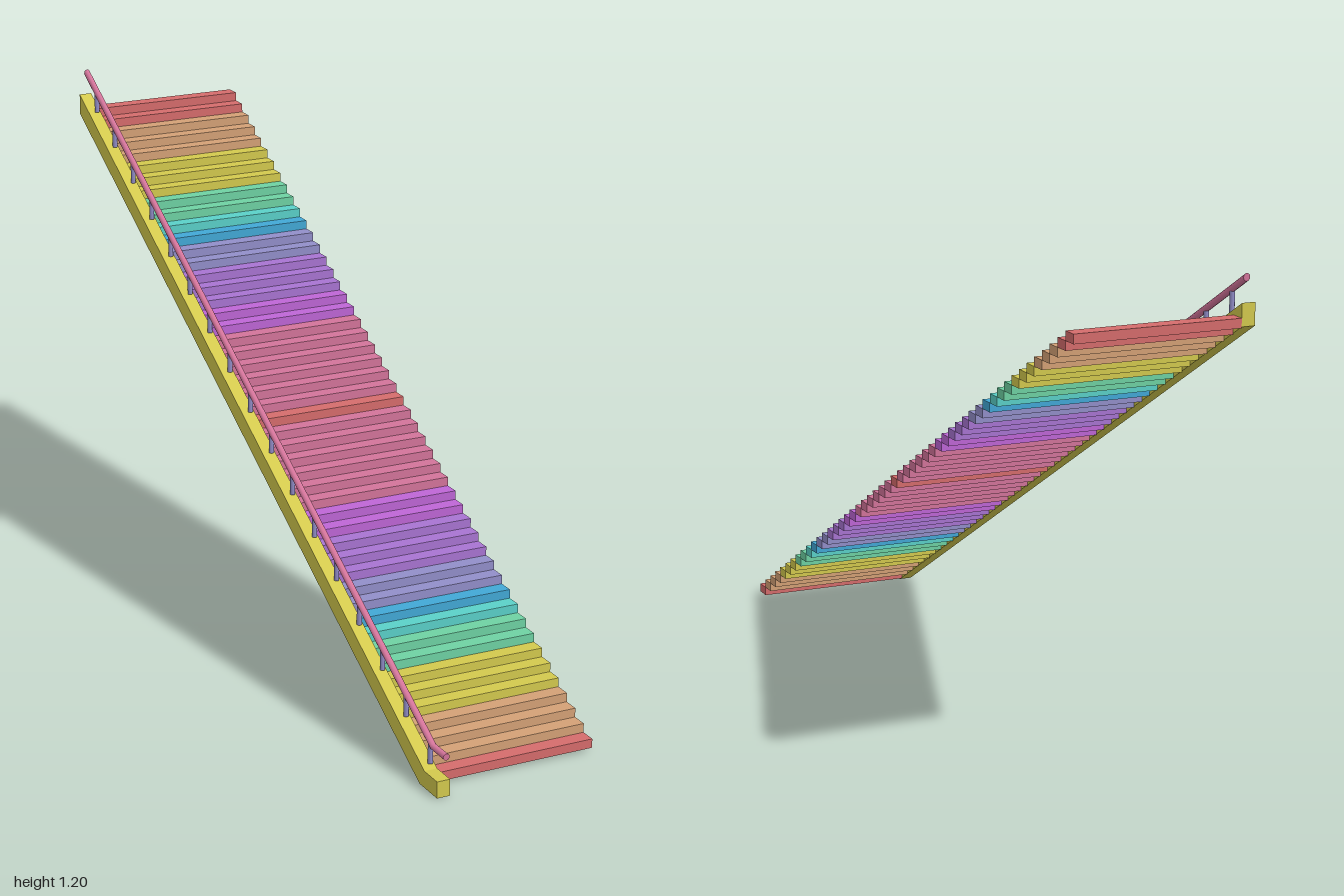
import * as THREE from 'three';

const COLORS = {
  red: 0xd56c6c, tan: 0xd4a176, yellow: 0xd3c94e, green: 0x6ed2a3, cyan: 0x5ad0c8,
  blue: 0x42a8d6, slate: 0x928ec9, purple: 0xa874d2, magenta: 0xbe66d6, pink: 0xd3749a,
};

// Colour bands of the steps, from the bottom up: [colour, number of steps]
const HALF = [['tan', 3], ['yellow', 3], ['green', 2], ['cyan', 1], ['blue', 1],
  ['slate', 2], ['purple', 3], ['magenta', 2], ['pink', 6]];
const BANDS = [['red', 1], ...HALF, ['red', 1], ...[...HALF].reverse(), ['red', 2]];

const FOOT_Z = 0.94, TOP_Z = -1, STEPS = 50;
const RUN = (FOOT_Z - TOP_Z) / STEPS, RISE = 1.093 / STEPS, SLOPE = RISE / RUN;
const climb = (z) => Math.max(0, FOOT_Z - z) * SLOPE; // height gained at z

export function createModel() {
  const model = new THREE.Group();
  model.name = 'staircase';
  const mats = {};
  for (const [name, color] of Object.entries(COLORS)) {
    mats[name] = new THREE.MeshStandardMaterial({ color });
    mats[name].name = name;
  }
  const add = (parent, name, geometry, color, x = 0, y = 0, z = 0) => {
    const mesh = new THREE.Mesh(geometry, mats[color]);
    mesh.name = name;
    mesh.position.set(x, y, z);
    parent.add(mesh);
  };

  // Steps
  const steps = new THREE.Group();
  steps.name = 'steps';
  model.add(steps);
  const stepGeo = new THREE.BoxGeometry(0.396, RISE, RUN);
  let i = 0;
  for (const [color, count] of BANDS) {
    for (let n = 0; n < count; n++, i++) {
      add(steps, 'step', stepGeo, color, 0.015, 0.007 + (i + 0.5) * RISE, FOOT_Z - (i + 0.5) * RUN);
    }
  }

  // Side beam with a level foot; the profile is drawn in (-z, y)
  const profile = new THREE.Shape([[-1, 0], [-0.918, 0], [1, 1.081], [1, 0.04 + climb(TOP_Z)],
    [-FOOT_Z, 0.04], [-1, 0.04]].map(([a, b]) => new THREE.Vector2(a, b)));
  const beam = new THREE.ExtrudeGeometry(profile, { depth: 0.032, bevelEnabled: false });
  beam.rotateY(Math.PI / 2);
  add(model, 'sideBeam', beam, 'yellow', -0.215);

  // Handrail: a cylinder along z whose rings follow the bend at the foot
  const RAIL_X = -0.193, RAIL_Y = 0.095;
  const rail = new THREE.CylinderGeometry(0.008, 0.008, 2, 12, 2);
  rail.rotateX(Math.PI / 2);
  const p = rail.attributes.position;
  for (let k = 0; k < p.count; k++) {
    const z = Math.abs(p.getZ(k)) < 0.01 ? FOOT_Z : p.getZ(k);
    const stretch = z < FOOT_Z ? 1.14 : 1;
    p.setXYZ(k, p.getX(k), p.getY(k) * stretch + climb(z), z);
  }
  rail.computeVertexNormals();
  add(model, 'handrail', rail, 'pink', RAIL_X, RAIL_Y);

  // Posts, one for every third step
  const posts = new THREE.Group();
  posts.name = 'posts';
  model.add(posts);
  const postGeo = new THREE.CylinderGeometry(0.006, 0.006, 0.052, 10);
  for (let n = 0; n < 17; n++) {
    const z = 0.926 - n * 3 * RUN;
    add(posts, 'post', postGeo, 'slate', RAIL_X, 0.067 + climb(z), z);
  }
  return model;
}
